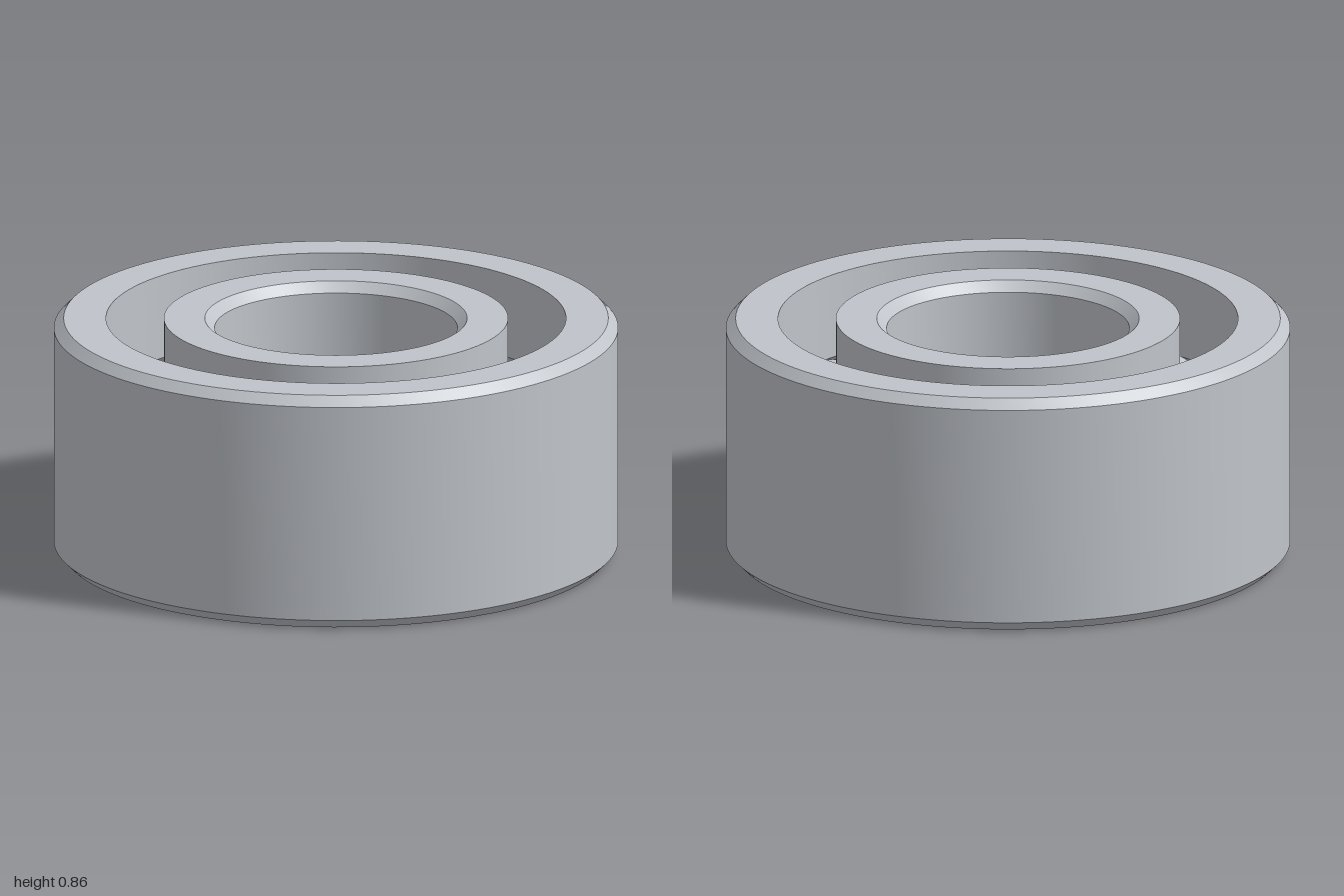
import * as THREE from 'three';
import { toCreasedNormals } from 'three/addons/utils/BufferGeometryUtils.js';

const H = 0.857, MID = H / 2;           // ring height and its mid plane
const BORE = 0.43, INNER = 0.61;        // inner ring radii
const OUTER = 0.815, RIM = 1;           // outer ring radii
const PITCH = 0.713, BALL = 0.158;      // ball circle radius and ball radius
const CHAMFER = 0.035, GROOVE = 0.16;

// Points of the raceway arc cut into a wall at the given radius, from bottom to top
function groove(wall, steps = 14) {
  const side = Math.sign(wall - PITCH);
  const half = Math.acos(Math.abs(wall - PITCH) / GROOVE);
  return Array.from({ length: steps + 1 }, (_, i) => {
    const a = -half + (2 * half * i) / steps;
    return [PITCH + side * GROOVE * Math.cos(a), MID + GROOVE * Math.sin(a)];
  });
}

// Revolve a closed, counter-clockwise cross-section
function ring(name, profile, material) {
  const points = [...profile, profile[0]].map(([r, y]) => new THREE.Vector2(r, y));
  const geometry = toCreasedNormals(new THREE.LatheGeometry(points, 128), 0.4);
  const mesh = new THREE.Mesh(geometry, material);
  mesh.name = name;
  return mesh;
}

export function createModel() {
  const group = new THREE.Group();
  group.name = 'ballBearing';
  const steel = new THREE.MeshStandardMaterial({ color: 0xc0c4ca });
  steel.name = 'steel';

  // Outer ring: chamfered rim, raceway on the inside
  group.add(ring('outerRing', [
    [OUTER, 0], [RIM - CHAMFER, 0], [RIM, CHAMFER],
    [RIM, H - CHAMFER], [RIM - CHAMFER, H], [OUTER, H],
    ...groove(OUTER).reverse(),
  ], steel));

  // Inner ring: chamfered bore, raceway on the outside
  group.add(ring('innerRing', [
    [BORE, CHAMFER], [BORE + CHAMFER, 0], [INNER, 0],
    ...groove(INNER),
    [INNER, H], [BORE + CHAMFER, H], [BORE, H - CHAMFER],
  ], steel));

  // Ten balls between the raceways
  const balls = new THREE.Group();
  balls.name = 'balls';
  const sphere = new THREE.SphereGeometry(BALL, 40, 24);
  for (let i = 0; i < 10; i++) {
    const a = (i / 10) * Math.PI * 2;
    const ball = new THREE.Mesh(sphere, steel);
    ball.name = 'ball';
    ball.position.set(PITCH * Math.cos(a), MID, PITCH * Math.sin(a));
    balls.add(ball);
  }
  group.add(balls);
  return group;
}
